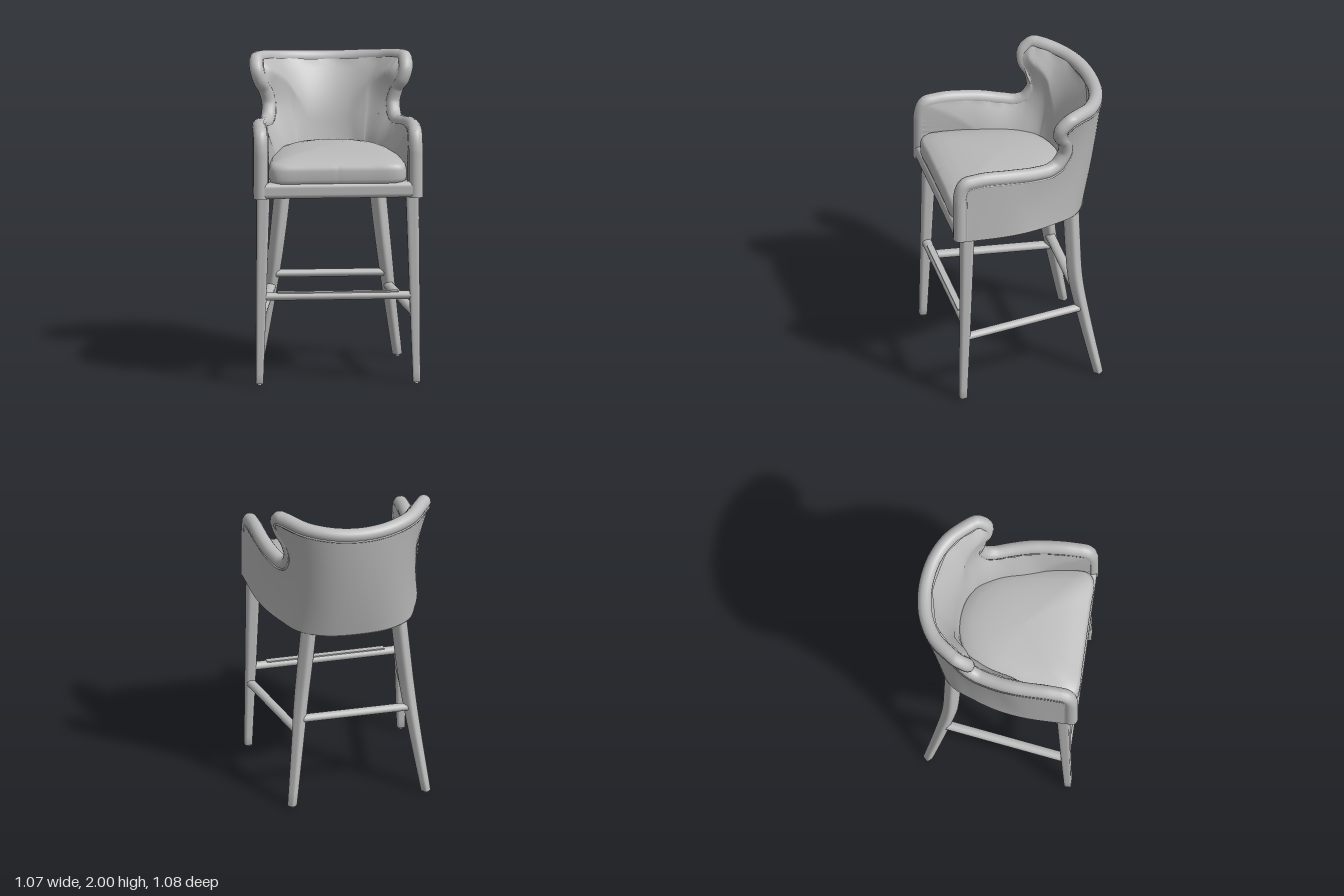
import * as THREE from 'three';
import { RoundedBoxGeometry } from 'three/addons/geometries/RoundedBoxGeometry.js';

const V = (x, y, z) => new THREE.Vector3(x, y, z);
const R = 0.045; // radius of the padded rim

// Smooth grid surface from a rule fn(u, v) -> Vector3
function surface(nu, nv, fn) {
  const pos = [], idx = [];
  for (let j = 0; j <= nv; j++)
    for (let i = 0; i <= nu; i++) pos.push(...fn(i / nu, j / nv).toArray());
  for (let j = 0; j < nv; j++)
    for (let i = 0; i < nu; i++) {
      const a = j * (nu + 1) + i, b = a + 1, c = a + nu + 1, d = c + 1;
      idx.push(a, c, b, b, c, d);
    }
  const g = new THREE.BufferGeometry();
  g.setAttribute('position', new THREE.Float32BufferAttribute(pos, 3));
  g.setIndex(idx);
  g.computeVertexNormals();
  return g;
}

// Mirrors a half list that starts on the centre line; signs tell which entries flip
function mirrored(half, signs) {
  const flip = half.slice(1).reverse().map(p => p.map((n, i) => n * signs[i]));
  return new THREE.CatmullRomCurve3([...flip, ...half].map(p => V(...p)));
}

// Plan outlines of the shell (x, z) at three heights, from back centre to arm front
const tiers = [1.18, 1.62, 1.92];
const plans = [
  [[0, -0.41], [0.21, -0.385], [0.36, -0.29], [0.44, -0.13], [0.495, 0.03], [0.525, 0.2], [0.535, 0.495]],
  [[0, -0.502], [0.21, -0.465], [0.35, -0.365], [0.43, -0.215], [0.49, -0.04], [0.522, 0.15], [0.535, 0.495]],
  [[0, -0.54], [0.2, -0.51], [0.36, -0.425], [0.455, -0.31], [0.52, -0.185], [0.53, 0.15], [0.535, 0.495]],
].map(p => mirrored(p.map(([x, z]) => [x, 0, z]), [-1, 1, 1]));

// Outer shell point at station k (-6..6) and height y, blended through the three plans
function outer(k, y) {
  const t = THREE.MathUtils.clamp((k + 6) / 12, 0, 1), p = V(0, 0, 0);
  tiers.forEach((a, i) => {
    let w = 1;
    tiers.forEach((b, j) => { if (j !== i) w *= (y - b) / (a - b); });
    p.addScaledVector(plans[i].getPoint(t), w);
  });
  return p.setY(y);
}
function outward(k, y) {
  const d = outer(Math.min(k + 0.05, 6), y).sub(outer(Math.max(k - 0.05, -6), y));
  return V(d.z, 0, -d.x).normalize();
}
const shellPoint = (k, y, depth) => outer(k, y).addScaledVector(outward(k, y), -depth);
const baseY = k => 1.175 + 0.045 * outer(k, 1.18).z;

// Rim outline: station, height, station of the matching point on the base
const rim = mirrored([
  [0, 1.905, 0], [2, 1.93, 1.4], [3.3, 1.953, 2], [3.75, 1.945, 2.2], [3.92, 1.9, 2.3], [3.7, 1.835, 2.4],
  [3.2, 1.76, 2.5], [3, 1.68, 2.6], [3.1, 1.61, 2.8], [3.4, 1.572, 3.2], [4, 1.575, 4], [5, 1.6, 5],
  [5.7, 1.612, 5.7], [5.95, 1.58, 5.95], [6, 1.5, 6], [6, 1.2, 6],
], [-1, 1, -1]);
const rimSamples = rim.getPoints(240);

// Padding of the inner face grows smoothly with distance from the rim
function padding(k, y) {
  let d = 1;
  for (const r of rimSamples) d = Math.min(d, Math.hypot((r.x - k) * 0.17, r.y - y));
  const s = Math.min(d / 0.36, 1);
  const extra = 0.1 - 0.045 * THREE.MathUtils.smoothstep(Math.abs(k), 4, 6);
  return 2 * R + 0.002 + extra * s * (2 - s);
}

// Shell sheet: columns run from the base up to the rim, leaning into the wings
function sheet(depth, lift) {
  return surface(200, 28, (u, v) => {
    const r = rim.getPoint(u);
    const k = r.z + (r.x - r.z) * v ** 3;
    const y = THREE.MathUtils.lerp(baseY(r.z) + lift, r.y, v);
    return shellPoint(k, y, depth(k, y));
  });
}

// Centre line of the padded rim, and the piping that follows it on the outside
function rimCurves() {
  const n = 150, at = i => rim.getPoint(THREE.MathUtils.clamp(i, 0, n) / n);
  const centre = i => shellPoint(at(i).x, at(i).y, R);
  const rimLine = [], piping = [];
  for (let i = 0; i <= n; i++) {
    const c = centre(i), o = outward(at(i).x, at(i).y);
    const inward = o.clone().cross(centre(i + 1).sub(centre(i - 1)).normalize()).normalize();
    rimLine.push(c);
    piping.push(c.clone().addScaledVector(o, 0.036).addScaledVector(inward, 0.031));
  }
  return [rimLine, piping].map(p => new THREE.CatmullRomCurve3(p));
}

// Domed cushion made of scaled copies of the seat outline
function cushionGeometry() {
  const line = [[0, 0.53], [0.2, 0.53], [0.38, 0.527], [0.425, 0.49], [0.432, 0.42], [0.418, 0.28], [0.39, 0.1],
    [0.325, -0.1], [0.2, -0.23]];
  const all = [...line, [0, -0.285], ...line.slice(1).reverse().map(([x, z]) => [-x, z])];
  const outline = new THREE.CatmullRomCurve3(all.map(([x, z]) => V(x, 0, z)), true);
  const rings = [[0, 1.28], [0.93, 1.283], [0.98, 1.295], [1, 1.32], [1, 1.375], [0.985, 1.4], [0.95, 1.418],
    [0.8, 1.44], [0.6, 1.456], [0.3, 1.467], [0, 1.47]];
  return surface(80, rings.length - 1, (u, v) => {
    const [s, y] = rings[Math.round(v * (rings.length - 1))], p = outline.getPoint(u);
    return V(p.x * s, y, 0.13 + (p.z - 0.13) * s);
  });
}

// Tapered leg with a soft square section; stations are [x, y, z, half width]
function legGeometry(stations, turn) {
  const path = new THREE.CatmullRomCurve3(stations.map(([x, y, z]) => V(x, y, z)));
  const n = stations.length - 1;
  return surface(24, 20, (u, v) => {
    const w = v < 0.025 ? 0 : 1, t = (v - 0.05 * w) / (1 - 0.05 * w);
    const i = Math.min(Math.floor(t * n), n - 1);
    const h = w * THREE.MathUtils.lerp(stations[i][3], stations[i + 1][3], t * n - i);
    const a = u * Math.PI * 2, c = Math.cos(a), s = Math.sin(a);
    const f = h / Math.pow(c ** 6 + s ** 6, 1 / 6);
    const p = path.getPoint(t);
    return V(p.x + f * Math.cos(a + turn), p.y, p.z + f * Math.sin(a + turn));
  });
}

export function createModel() {
  const group = new THREE.Group();
  const grey = new THREE.MeshStandardMaterial({ color: 0xbababa, side: THREE.DoubleSide });
  grey.name = 'plain grey';
  const add = (name, geometry) => {
    const m = new THREE.Mesh(geometry, grey);
    m.name = name;
    group.add(m);
    return m;
  };
  // Oval bar between two points; sx and sz widen its section
  const bar = (name, a, b, r, sx, sz) => {
    const m = add(name, new THREE.CylinderGeometry(r, r, a.distanceTo(b), 16).scale(sx, 1, sz));
    m.position.copy(a).add(b).multiplyScalar(0.5);
    m.quaternion.setFromUnitVectors(V(0, 1, 0), b.clone().sub(a).normalize());
  };

  // Upholstered shell
  add('outerShell', sheet(() => 0.005, 0));
  add('innerShell', sheet(padding, 0.02));
  const [rimLine, pipingLine] = rimCurves();
  add('paddedRim', new THREE.TubeGeometry(rimLine, 240, R, 14));
  add('piping', new THREE.TubeGeometry(pipingLine, 240, 0.007, 6));
  add('underside', surface(40, 1, (u, v) => {
    const p = shellPoint(u * 6, 1.18, 0.005);
    return V(p.x * (v * 2 - 1), baseY(u * 6), p.z);
  }));

  // Seat
  add('frontRail', new RoundedBoxGeometry(1.045, 0.1, 0.1, 4, 0.03)).position.set(0, 1.25, 0.485);
  add('seatCushion', cushionGeometry());

  // Legs, glides and side stretchers
  for (const s of [1, -1]) {
    const side = s > 0 ? 'left' : 'right';
    add(side + 'FrontLeg', legGeometry([[0.495 * s, 0.012, 0.478, 0.024], [0.483 * s, 0.6, 0.461, 0.033],
      [0.47 * s, 1.23, 0.445, 0.042]], 0));
    add(side + 'BackLeg', legGeometry([[0.433 * s, 0.012, -0.417, 0.025], [0.38 * s, 0.4, -0.34, 0.032],
      [0.345 * s, 0.68, -0.293, 0.038], [0.317 * s, 0.93, -0.282, 0.041], [0.29 * s, 1.19, -0.278, 0.042]], Math.PI / 4));
    for (const [x, z] of [[0.495, 0.478], [0.433, -0.417]])
      add(side + 'Glide', new THREE.CylinderGeometry(0.014, 0.014, 0.02, 12)).position.set(x * s, 0.01, z);
    bar(side + 'Stretcher', V(0.485 * s, 0.453, 0.46), V(0.37 * s, 0.475, -0.32), 0.025, 1.25, 1);
  }

  // Front and back stretchers with a foot plate
  bar('frontStretcher', V(-0.48, 0.565, 0.462), V(0.48, 0.565, 0.462), 0.026, 1, 1.2);
  bar('backStretcher', V(-0.355, 0.56, -0.31), V(0.355, 0.56, -0.31), 0.025, 1, 1.25);
  add('footPlate', new THREE.BoxGeometry(0.76, 0.008, 0.04)).position.set(0, 0.59, 0.462);
  return group;
}
